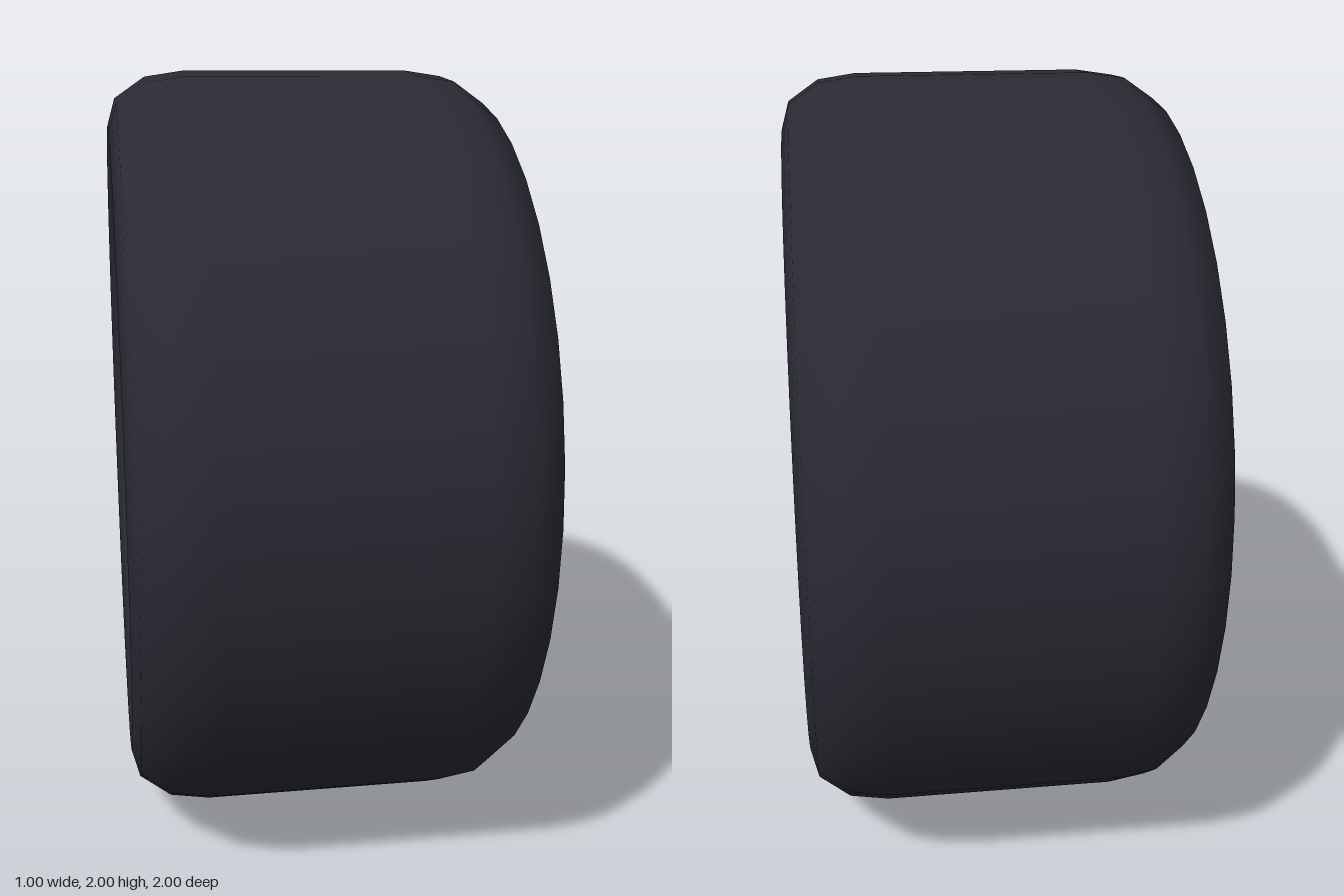
import * as THREE from 'three';

const material = (name, color) => {
  const m = new THREE.MeshStandardMaterial({ color });
  m.name = name;
  return m;
};

export function createModel() {
  const wheel = new THREE.Group();
  wheel.name = 'wheel';
  const rubber = material('darkRubber', 0x292a33);
  const alloy = material('greyAlloy', 0x848990);
  const silver = material('paleSilver', 0xb3b8c2);

  const add = (name, geometry, mat) => {
    const mesh = new THREE.Mesh(geometry, mat);
    mesh.name = name;
    wheel.add(mesh);
    return mesh;
  };
  // Lathe around the x axis; profile points are [radius, x]
  const turned = (name, profile, mat) => {
    const points = profile.map(([r, x]) => new THREE.Vector2(r, x));
    return add(name, new THREE.LatheGeometry(points, 40).rotateZ(-Math.PI / 2), mat);
  };

  // Tyre: tread, rounded shoulders and sidewalls, mirrored across x
  const half = [[1, 0.3], [0.985, 0.4], [0.93, 0.48], [0.86, 0.5], [0.8, 0.485], [0.76, 0.44]];
  const mirrored = half.map(([r, x]) => [r, -x]).reverse();
  turned('tyre', [...mirrored, ...half], rubber);

  // Rim barrel, open at the back and closed by a plate
  turned('backBarrel', [[0.76, 0.05], [0.76, -0.44]], rubber);
  turned('backPlate', [[0, 0.05], [0.76, 0.05]], rubber);
  turned('frontBarrel', [[0.76, 0.44], [0.71, 0.4], [0.7, 0.1]], rubber);

  // Stepped dish behind the spokes, rising to the hub
  turned('dishFloor', [[0.7, 0.1], [0.6, 0.1]], rubber);
  turned('dishStep', [[0.6, 0.1], [0.6, 0.13]], rubber);
  turned('dish', [[0.6, 0.13], [0.46, 0.135], [0.34, 0.2], [0.24, 0.32], [0.17, 0.36]], rubber);

  // Bright ring at the rim edge
  add('rimRing', new THREE.TorusGeometry(0.73, 0.03, 10, 64).rotateY(Math.PI / 2), silver)
    .position.x = 0.46;

  // Hub with a rounded, shallow domed cap
  turned('hub', [
    [0.2, 0.3], [0.21, 0.37], [0.21, 0.41], [0.2, 0.445],
    [0.17, 0.475], [0.12, 0.491], [0.06, 0.498], [0, 0.5],
  ], alloy);

  // Six flared spokes with chamfered edges
  const outline = new THREE.Shape([
    new THREE.Vector2(0.15, -0.075), new THREE.Vector2(0.695, -0.148),
    new THREE.Vector2(0.695, 0.148), new THREE.Vector2(0.15, 0.075),
  ]);
  const spoke = new THREE.ExtrudeGeometry(outline, {
    depth: 0.05, bevelEnabled: true, bevelThickness: 0.03, bevelSize: 0.015, bevelSegments: 1,
  }).rotateY(Math.PI / 2).translate(0.355, 0, 0);
  for (let i = 0; i < 6; i++) {
    add('spoke' + (i + 1), spoke, alloy).rotation.x = (i * Math.PI) / 3;
  }

  wheel.children.forEach((part) => { part.position.y = 1; });
  return wheel;
}
